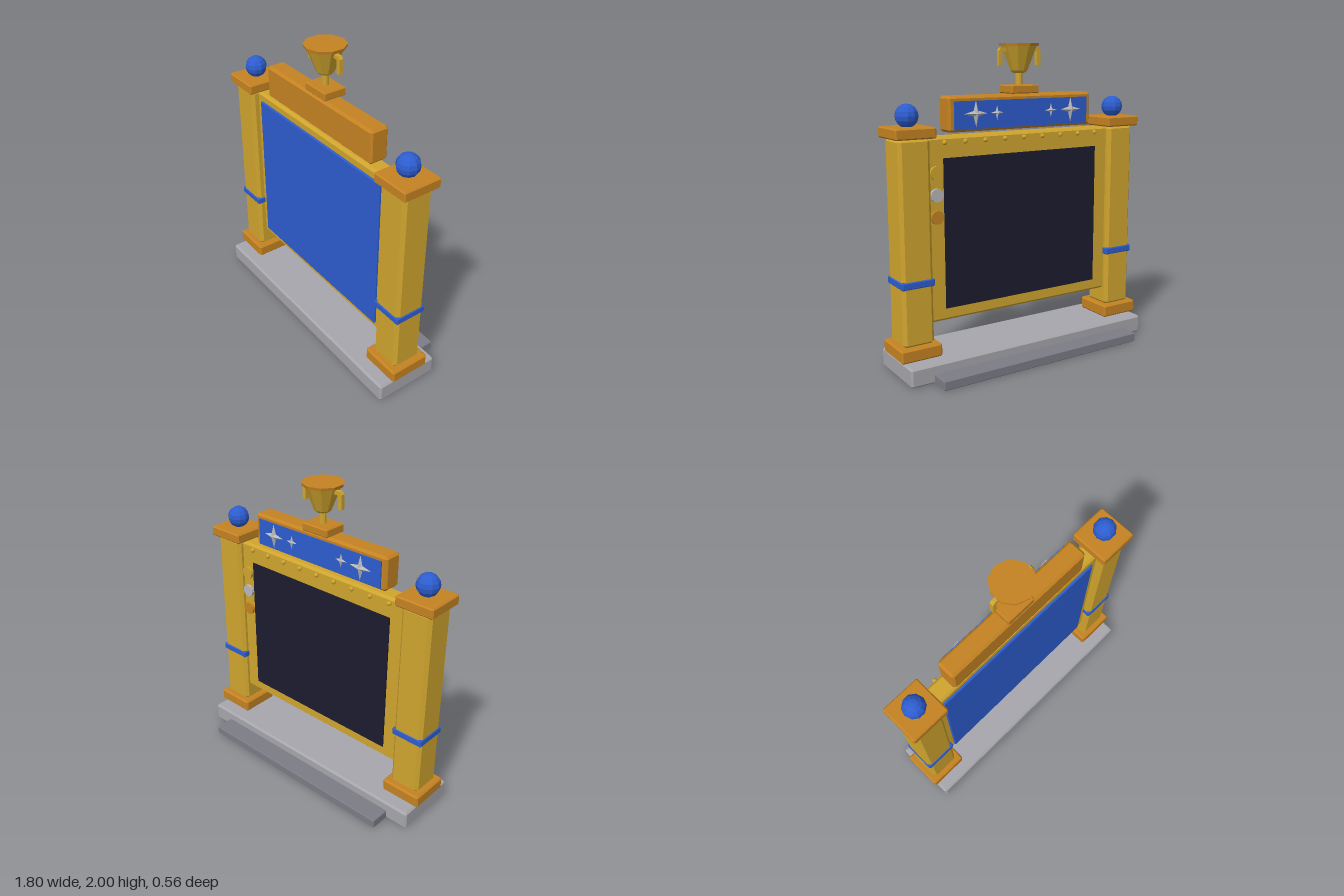
import * as THREE from 'three';
import { ConvexGeometry } from 'three/addons/geometries/ConvexGeometry.js';

const mat = (name, color) => {
  const m = new THREE.MeshStandardMaterial({ color, flatShading: true });
  m.name = name;
  return m;
};

// Box with every edge cut by a single chamfer c
function chamferBox(w, h, d, c) {
  const points = [];
  for (const x of [-1, 1]) for (const y of [-1, 1]) for (const z of [-1, 1]) {
    for (let axis = 0; axis < 3; axis++) {
      const inset = [c, c, c];
      inset[axis] = 0;
      points.push(new THREE.Vector3(
        x * (w / 2 - inset[0]), y * (h / 2 - inset[1]), z * (d / 2 - inset[2])));
    }
  }
  return new ConvexGeometry(points);
}

// Four-pointed star with a raised ridge on both sides
function starGeometry(r, depth) {
  const rim = [];
  for (let i = 0; i < 8; i++) {
    const a = i * Math.PI / 4, q = i % 2 ? r * 0.3 : r;
    rim.push([Math.cos(a) * q, Math.sin(a) * q, 0]);
  }
  const pos = [];
  for (let i = 0; i < 8; i++) {
    const a = rim[i], b = rim[(i + 1) % 8];
    pos.push(...a, ...b, 0, 0, depth, ...b, ...a, 0, 0, -depth);
  }
  const g = new THREE.BufferGeometry();
  g.setAttribute('position', new THREE.Float32BufferAttribute(pos, 3));
  g.computeVertexNormals();
  return g;
}

export function createModel() {
  const gold = mat('gold', 0xd0a52e);
  const bronze = mat('bronze', 0xc58322);
  const blue = mat('blue', 0x2d5dcf);
  const stone = mat('paleStone', 0xa6a6ac);
  const step = mat('darkStone', 0x7c7c86);
  const dark = mat('screenNavy', 0x1b1b2f);
  const silver = mat('silver', 0xb8b8bc);

  const root = new THREE.Group();
  root.name = 'trophyDisplay';
  const add = (name, geometry, material, x, y, z, parent = root) => {
    const m = new THREE.Mesh(geometry, material);
    m.name = name;
    m.position.set(x, y, z);
    parent.add(m);
    return m;
  };
  // Chamfered box given by its x, y and z limits
  const block = (name, material, [x0, x1], [y0, y1], [z0, z1], c, parent) =>
    add(name, chamferBox(x1 - x0, y1 - y0, z1 - z0, c), material,
      (x0 + x1) / 2, (y0 + y1) / 2, (z0 + z1) / 2, parent);

  // Base and the low step behind it
  block('base', stone, [-0.88, 0.88], [0, 0.12], [-0.153, 0.281], 0.012);
  block('backStep', step, [-0.73, 0.73], [0, 0.06], [-0.281, -0.145], 0.005);

  // Pillars
  for (const side of [-1, 1]) {
    const pillar = new THREE.Group();
    pillar.name = side > 0 ? 'leftPillar' : 'rightPillar';
    pillar.position.set(side * 0.765, 0, 0.065);
    root.add(pillar);
    const square = (name, material, w, y0, y1, c) =>
      block(name, material, [-w / 2, w / 2], [y0, y1], [-w / 2, w / 2], c, pillar);
    square('plinth', bronze, 0.27, 0.125, 0.208, 0.01);
    square('shaft', gold, 0.204, 0.2, 1.46, 0.021);
    square('band', blue, 0.215, 0.567, 0.615, 0.007);
    square('cap', bronze, 0.258, 1.455, 1.521, 0.008);
    add('ball', new THREE.SphereGeometry(0.071, 10, 8), blue, 0, 1.583, 0, pillar);
  }

  // Framed panel: blue on the front, dark screen on the back
  block('frame', gold, [-0.68, 0.68], [0.32, 1.455], [0, 0.118], 0.015);
  block('frontPanel', blue, [-0.618, 0.618], [0.37, 1.4], [0.11, 0.132], 0.003);
  add('screen', new THREE.BoxGeometry(1.134, 0.93, 0.009), dark, 0, 0.863, -0.003);

  // Row of small bulbs above the screen
  const bulb = new THREE.SphereGeometry(0.015, 8, 6);
  for (let i = 0; i < 9; i++) add('bulb', bulb, gold, -0.56 + i * 0.14, 1.422, -0.008);

  // Three medals beside the screen
  const medal = new THREE.CylinderGeometry(0.042, 0.042, 0.024, 12).rotateX(Math.PI / 2);
  [gold, silver, bronze].forEach((m, i) => add('medal', medal, m, 0.618, 1.244 - i * 0.134, -0.006));

  // Header with a starred banner on its back
  block('header', bronze, [-0.525, 0.525], [1.475, 1.69], [0, 0.126], 0.015);
  add('banner', new THREE.BoxGeometry(0.98, 0.17, 0.009), blue, 0, 1.575, -0.003);
  for (const side of [-1, 1]) {
    add('largeStar', starGeometry(0.08, 0.022), silver, side * 0.35, 1.583, -0.019);
    add('smallStar', starGeometry(0.045, 0.016), silver, side * 0.2, 1.583, -0.014);
  }

  // Trophy cup
  const cup = new THREE.Group();
  cup.name = 'cup';
  cup.position.z = 0.051;
  root.add(cup);
  block('cupBase', bronze, [-0.1, 0.1], [1.694, 1.746], [-0.077, 0.077], 0.006, cup);
  add('stem', new THREE.CylinderGeometry(0.022, 0.022, 0.09, 10), gold, 0, 1.785, 0, cup);
  const bowl = [[0, 1.815], [0.042, 1.82], [0.055, 1.833], [0.115, 1.986], [0, 1.986]];
  add('bowl', new THREE.LatheGeometry(bowl.map(p => new THREE.Vector2(...p)), 10), gold, 0, 0, 0, cup);
  add('rim', new THREE.CylinderGeometry(0.13, 0.126, 0.018, 10), bronze, 0, 1.991, 0, cup);

  // Hooked handles: a rounded bend extruded to a square section
  const hook = new THREE.Shape();
  hook.moveTo(0.09, 1.972);
  hook.lineTo(0.09, 1.948);
  hook.lineTo(0.127, 1.948);
  hook.lineTo(0.127, 1.864);
  hook.lineTo(0.153, 1.864);
  hook.lineTo(0.153, 1.955);
  hook.lineTo(0.139, 1.972);
  const handle = new THREE.ExtrudeGeometry(hook, { depth: 0.026, bevelEnabled: false });
  handle.translate(0, 0, -0.013);
  for (const side of [-1, 1]) {
    const h = add('handle', handle, gold, 0, 0, 0, cup);
    if (side < 0) h.rotation.y = Math.PI;
  }
  return root;
}
